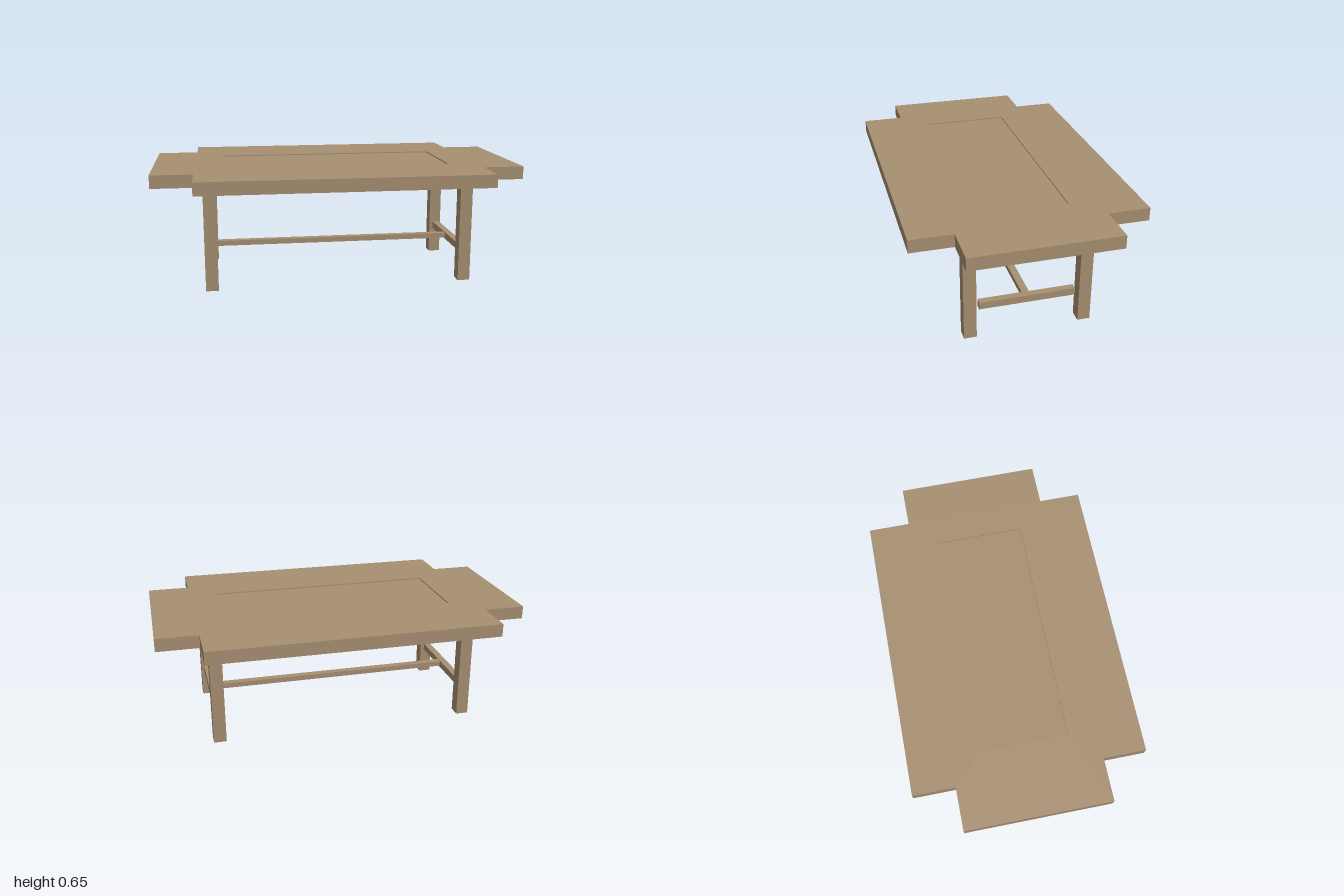
import * as THREE from 'three';

export function createModel() {
  const table = new THREE.Group();
  table.name = 'table';
  const wood = new THREE.MeshStandardMaterial({ color: 0xa89072 });
  wood.name = 'wood';

  const addBox = (name, size, position) => {
    const mesh = new THREE.Mesh(new THREE.BoxGeometry(...size), wood);
    mesh.name = name;
    mesh.position.set(...position);
    table.add(mesh);
  };

  // Tabletop frame: notched corners around a rectangular opening
  const X = 1, Z = 0.613, nx = 0.775, nz = 0.388; // outer extents, notch corners
  const px = 0.62, pz = 0.235;                    // half size of the opening
  const top = 0.648, bottom = 0.578;
  const points = (list) => list.map(([x, y]) => new THREE.Vector2(x, y));
  const outline = new THREE.Shape(points([
    [-nx, -Z], [nx, -Z], [nx, -nz], [X, -nz], [X, nz], [nx, nz],
    [nx, Z], [-nx, Z], [-nx, nz], [-X, nz], [-X, -nz], [-nx, -nz],
  ]));
  outline.holes.push(new THREE.Path(points([[-px, -pz], [-px, pz], [px, pz], [px, -pz]])));
  const frameGeometry = new THREE.ExtrudeGeometry(outline, { depth: top - bottom, bevelEnabled: false });
  frameGeometry.rotateX(-Math.PI / 2);
  const frame = new THREE.Mesh(frameGeometry, wood);
  frame.name = 'tabletopFrame';
  frame.position.y = bottom;
  table.add(frame);

  // Thinner panel set just below the frame's upper surface
  addBox('centrePanel', [px * 2, 0.03, pz * 2], [0, top - 0.006 - 0.015, 0]);

  // Legs and end stretchers
  for (const sx of [-1, 1]) {
    const end = sx > 0 ? 'left' : 'right';
    for (const sz of [-1, 1]) {
      addBox(`${end}${sz > 0 ? 'Front' : 'Back'}Leg`, [0.068, bottom, 0.068], [sx * 0.7, bottom / 2, sz * 0.31]);
    }
    addBox(`${end}Stretcher`, [0.039, 0.039, 0.516], [sx * 0.7, 0.176, 0]);
  }

  // Long stretcher joining the two end stretchers
  addBox('longStretcher', [1.37, 0.029, 0.039], [0, 0.177, 0]);

  return table;
}
